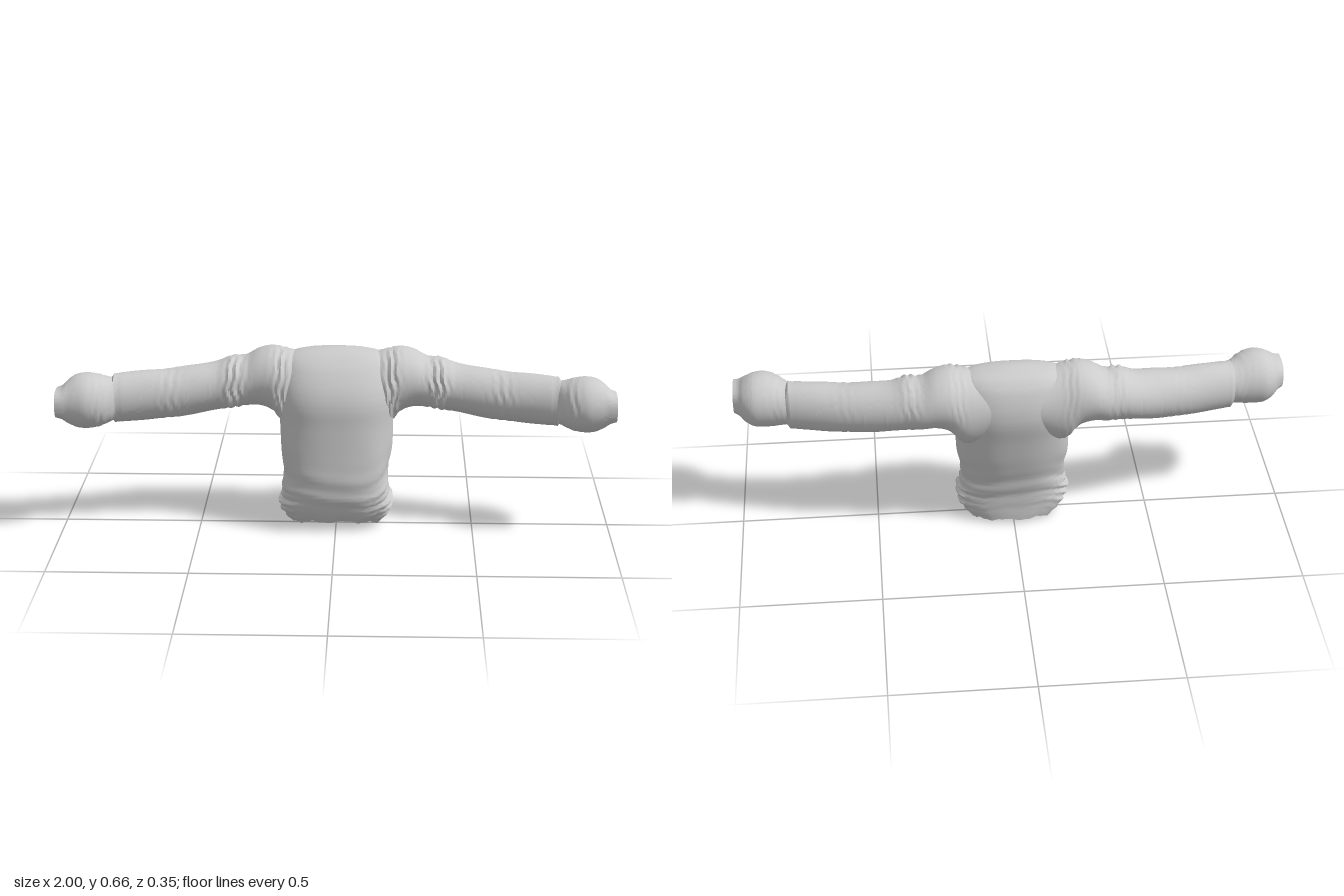
import * as THREE from 'three';
import { toCreasedNormals } from 'three/addons/utils/BufferGeometryUtils.js';

const material = new THREE.MeshStandardMaterial({ color: 0xcccccc, side: THREE.DoubleSide });

// Smooth interpolation of a table whose first column is the parameter
function sample(table, t) {
  const n = table.length;
  let i = 0;
  while (i < n - 2 && t > table[i + 1][0]) i++;
  const slope = (k, c) => {
    const a = table[Math.max(0, k - 1)], b = table[Math.min(n - 1, k + 1)];
    return (b[c] - a[c]) / (b[0] - a[0]);
  };
  const p = table[i], q = table[i + 1], h = q[0] - p[0];
  const u = THREE.MathUtils.clamp((t - p[0]) / h, 0, 1), u2 = u * u, u3 = u2 * u;
  return p.map((v, c) => c === 0 ? t :
    (2 * u3 - 3 * u2 + 1) * v + (u3 - 2 * u2 + u) * h * slope(i, c) +
    (3 * u2 - 2 * u3) * q[c] + (u3 - u2) * h * slope(i + 1, c));
}

const bump = (t, centre, width) => Math.exp(-(((t - centre) / width) ** 2));
const power = (v, p) => Math.sign(v) * Math.abs(v) ** p;

// Skin closed rings of points; each ring is an array of [x, y, z]
function loft(name, rings, flip = false) {
  const n = rings[0].length, index = [];
  for (let r = 0; r < rings.length - 1; r++) {
    for (let i = 0; i < n; i++) {
      const a = r * n + i, b = r * n + (i + 1) % n, c = b + n, d = a + n;
      if (flip) index.push(a, c, b, a, d, c);
      else index.push(a, b, c, a, c, d);
    }
  }
  const geo = new THREE.BufferGeometry();
  geo.setAttribute('position', new THREE.Float32BufferAttribute(rings.flat(2), 3));
  geo.setIndex(index);
  const mesh = new THREE.Mesh(toCreasedNormals(geo, 0.8), material);
  mesh.name = name;
  return mesh;
}

// Shrink a ring towards its middle and shift it
function inset(ring, scale, dx, dy) {
  const mid = [0, 1, 2].map(k => ring.reduce((s, p) => s + p[k], 0) / ring.length);
  return ring.map(p => p.map((v, k) => mid[k] + (v - mid[k]) * scale + [dx, dy, 0][k]));
}

// Body: height, half width, front z, back z
const BODY = [
  [0.00, 0.155, 0.090, -0.097], [0.03, 0.182, 0.105, -0.098], [0.07, 0.203, 0.118, -0.098],
  [0.12, 0.200, 0.131, -0.102], [0.20, 0.190, 0.140, -0.116], [0.30, 0.203, 0.135, -0.142],
  [0.40, 0.206, 0.130, -0.161], [0.48, 0.212, 0.126, -0.176], [0.54, 0.208, 0.106, -0.173],
  [0.60, 0.196, 0.065, -0.154], [0.63, 0.180, 0.032, -0.133], [0.65, 0.130, 0.000, -0.106],
  [0.66, 0.040, -0.030, -0.070]
];

function bodyRing(t) {
  const [, w, front, back] = sample(BODY, t);
  const cz = (front + back) / 2, d = (front - back) / 2, ring = [], n = 88;
  for (let i = 0; i < n; i++) {
    const a = i / n * Math.PI * 2, s = Math.sin(a), c = Math.cos(a);
    // Cloth gathered at the sides above the hem, with curved drapes
    const droop = t + 0.035 * c + 0.012 * Math.sin(3 * a);
    const side = Math.abs(s) ** 2;
    let f = 1 + 0.035 * side * bump(t, 0.09, 0.07) * Math.sin(droop * 190);
    f += 0.018 * bump(t, 0.15, 0.08) * Math.sin(droop * 75 + 2 * c);
    f += 0.02 * bump(t, 0.27, 0.1) * Math.cos(5 * a + t * 12) * side;
    // Uneven hem, lifted at the front
    const low = Math.max(0, 1 - t / 0.15);
    const hem = low * (0.03 * Math.max(0, c) + 0.01 * bump(c, -1, 0.4) +
      0.004 * (1 + Math.sin(9 * a)) + 0.002 * Math.sin(23 * a));
    ring.push([f * w * power(s, 0.82), t + hem, cz + f * d * power(c, 0.82)]);
  }
  return ring;
}

function makeBody() {
  const rings = [];
  for (let i = 0; i <= 84; i++) rings.push(bodyRing(0.66 * i / 84));
  // Shallow closed underside and rounded-off neck
  const hem = rings[0];
  rings.unshift(inset(hem, 0.001, 0, 0.035), inset(hem, 0.9, 0, 0.02));
  rings.push(inset(rings[rings.length - 1], 0.001, 0, 0.002));
  return loft('body', rings);
}

// Sleeve: x, top y, bottom y, front z, back z
const SLEEVE = [
  [0.08, 0.630, 0.400, 0.050, -0.168], [0.15, 0.644, 0.365, 0.062, -0.174],
  [0.19, 0.654, 0.370, 0.068, -0.176], [0.23, 0.661, 0.420, 0.063, -0.175],
  [0.28, 0.650, 0.440, 0.052, -0.172], [0.33, 0.624, 0.438, 0.045, -0.166],
  [0.38, 0.622, 0.432, 0.052, -0.154], [0.43, 0.604, 0.426, 0.050, -0.143],
  [0.50, 0.594, 0.414, 0.058, -0.125], [0.60, 0.584, 0.403, 0.073, -0.099],
  [0.70, 0.581, 0.399, 0.088, -0.071], [0.80, 0.577, 0.396, 0.106, -0.043]
];

// Cuff: same columns, swelling past the wrist and closing in at the hand
const CUFF = [
  [0.78, 0.560, 0.415, 0.085, -0.030], [0.82, 0.570, 0.405, 0.140, -0.032],
  [0.85, 0.582, 0.395, 0.164, -0.030], [0.89, 0.590, 0.390, 0.177, -0.029],
  [0.93, 0.585, 0.393, 0.173, -0.024], [0.96, 0.567, 0.410, 0.167, -0.005],
  [0.98, 0.548, 0.430, 0.166, 0.020], [1.00, 0.541, 0.439, 0.165, 0.035]
];

function armRing(table, x, side, wrinkle, square) {
  const [, top, bottom, front, back] = sample(table, x), ring = [], n = 56;
  const cy = (top + bottom) / 2, h = (top - bottom) / 2;
  const cz = (front + back) / 2, d = (front - back) / 2;
  for (let i = 0; i < n; i++) {
    const a = i / n * Math.PI * 2, s = Math.sin(a), c = Math.cos(a);
    const f = 1 + wrinkle(x, a, s);
    const e = 1 - 0.25 * square;
    ring.push([side * x, cy + f * h * power(c, e), cz + f * d * power(s, e)]);
  }
  return ring;
}

// Gathers at the shoulder, upper arm, elbow and wrist, deepest on the front
function sleeveFolds(x, a, s) {
  const front = 0.25 + 0.75 * Math.max(0, s);
  const wave = x + 0.006 * Math.sin(3 * a) + 0.004 * Math.sin(7 * a);
  return front * (0.05 * bump(x, 0.2, 0.03) * Math.sin(wave * 260) +
    0.07 * bump(x, 0.37, 0.035) * Math.sin(wave * 230) +
    0.025 * bump(x, 0.6, 0.04) * Math.sin(wave * 200) -
    0.035 * bump(x, 0.785, 0.008)) +
    0.012 * Math.sin(wave * 38 + 2 * a) * bump(x, 0.58, 0.2) * Math.abs(Math.cos(a));
}

const cuffFolds = (x, a, s) => (0.2 + 0.8 * Math.max(0, s)) *
  0.03 * bump(x, 0.84, 0.025) * Math.sin(240 * x + 3 * Math.sin(2 * a));

function makeArm(side) {
  const arm = new THREE.Group();
  arm.name = side > 0 ? 'leftArm' : 'rightArm';
  const sleeve = [], cuff = [];
  for (let i = 0; i <= 110; i++)
    sleeve.push(armRing(SLEEVE, 0.08 + 0.72 * i / 110, side, sleeveFolds, 0));
  sleeve.push(inset(sleeve[sleeve.length - 1], 0.75, side * 0.015, 0));
  for (let i = 0; i <= 44; i++) {
    const x = 0.78 + 0.22 * i / 44;
    cuff.push(armRing(CUFF, x, side, cuffFolds, THREE.MathUtils.smoothstep(x, 0.94, 1)));
  }
  // Slightly sunken end of the cuff
  const end = cuff[cuff.length - 1];
  cuff.push(inset(end, 0.93, -side * 0.008, 0), inset(end, 0.001, -side * 0.01, 0));
  arm.add(loft('sleeve', sleeve, side < 0), loft('cuff', cuff, side < 0));
  return arm;
}

export function createModel() {
  const group = new THREE.Group();
  group.name = 'sweater';
  group.add(makeBody(), makeArm(1), makeArm(-1));
  return group;
}
